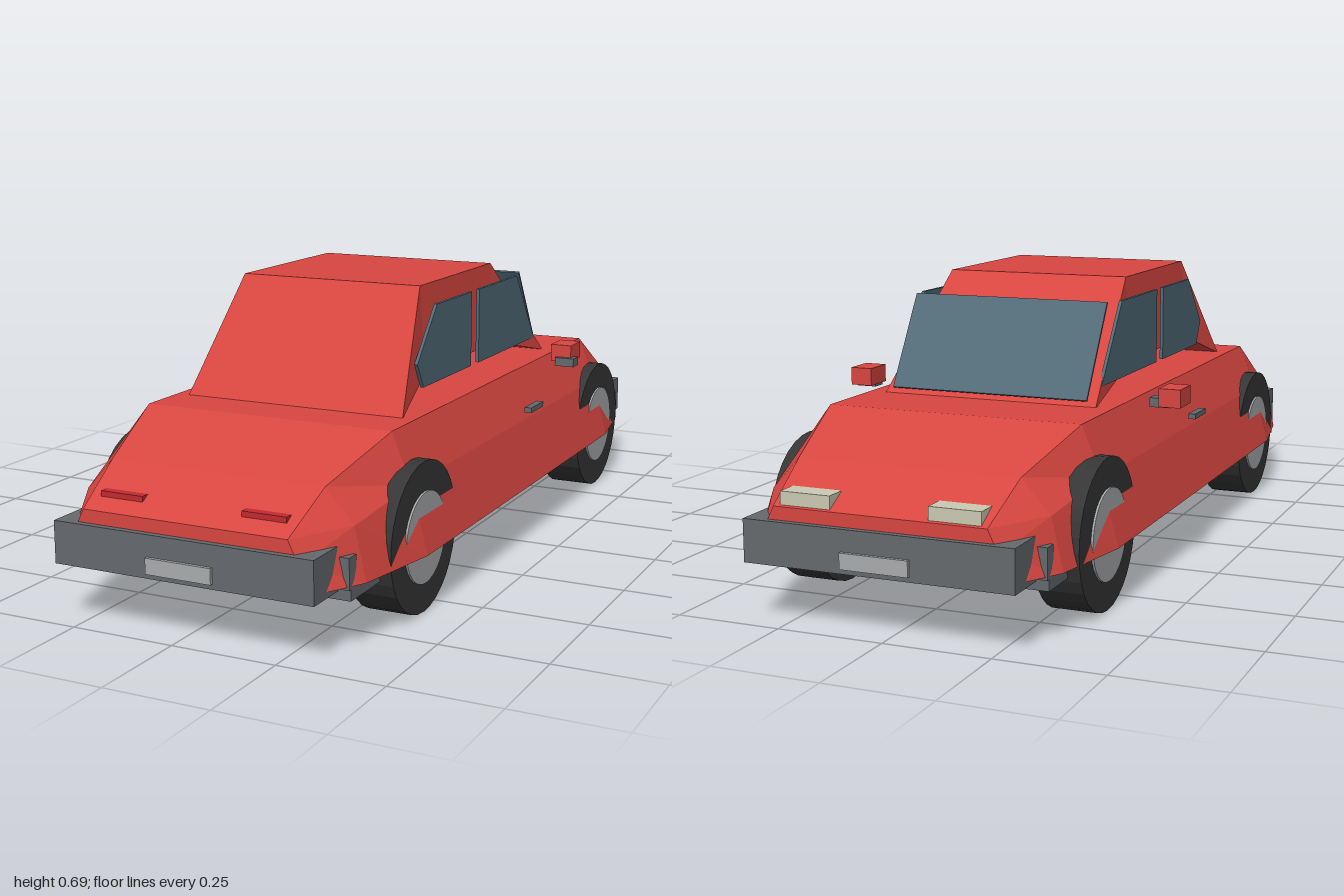
import * as THREE from 'three';

const mat = (name, color) => {
  const m = new THREE.MeshStandardMaterial({ color, flatShading: true });
  m.name = name;
  return m;
};

// Joins rings of points (counter-clockwise about the loft direction) and caps both ends.
function loft(rings, caps) {
  const pos = [];
  const tri = (a, b, c) => pos.push(...a, ...b, ...c);
  const n = rings[0].length;
  for (let i = 0; i + 1 < rings.length; i++) {
    for (let j = 0; j < n; j++) {
      const k = (j + 1) % n;
      const [a, b, c, d] = [rings[i][j], rings[i][k], rings[i + 1][k], rings[i + 1][j]];
      tri(a, b, c);
      tri(a, c, d);
    }
  }
  const first = rings[0], last = rings[rings.length - 1];
  for (const [a, b, c] of caps) {
    tri(last[a], last[b], last[c]);
    tri(first[a], first[c], first[b]);
  }
  const g = new THREE.BufferGeometry();
  g.setAttribute('position', new THREE.Float32BufferAttribute(pos, 3));
  g.computeVertexNormals();
  return g;
}

export function createModel() {
  const red = mat('body red', 0xd84640);
  const grey = mat('trim grey', 0x65696d);
  const black = mat('tire black', 0x363636);
  const silver = mat('hub silver', 0xa9abad);
  const glass = mat('window glass', 0x526c79);
  const lamp = mat('headlight cream', 0xcbc9b2);
  const tail = mat('taillight red', 0xc32a2f);

  const root = new THREE.Group();
  root.name = 'car';
  const add = (name, geo, material) => {
    const m = new THREE.Mesh(geo, material);
    m.name = name;
    root.add(m);
    return m;
  };
  // Box given by its minimum and maximum on each axis
  const box = (name, material, x0, x1, y0, y1, z0, z1) =>
    add(name, new THREE.BoxGeometry(x1 - x0, y1 - y0, z1 - z0), material)
      .position.set((x0 + x1) / 2, (y0 + y1) / 2, (z0 + z1) / 2);
  const C = 0.018; // centre line of the car

  // Lower body: cross-sections along z, each with bottom, waist and top [half width, y]
  const half = [
    [0.62, [0.4, 0.145], [0.36, 0.3], [0.313, 0.415]],
    [0.84, [0.36, 0.145], [0.333, 0.265], [0.265, 0.34]],
    [0.975, [0.3, 0.15], [0.275, 0.21], [0.25, 0.262]],
  ];
  const section = (z, [b, m, t]) => [
    [C - b[0], b[1], z], [C + b[0], b[1], z], [C + m[0], m[1], z],
    [C + t[0], t[1], z], [C - t[0], t[1], z], [C - m[0], m[1], z],
  ];
  const rings = [
    ...[...half].reverse().map(([z, ...p]) => section(-z, p)),
    ...half.map(([z, ...p]) => section(z, p)),
  ];
  add('body', loft(rings, [[0, 1, 2], [0, 2, 5], [5, 2, 3], [5, 3, 4]]), red);

  // Cabin: side profile [half width, y, z], raised along the sills
  const profile = [
    [0.282, 0.412, 0.5], [0.25, 0.48, 0.305], [0.25, 0.48, -0.13],
    [0.272, 0.412, -0.43], [0.235, 0.685, -0.13], [0.235, 0.685, 0.305],
  ];
  const cabinSide = (s) => profile.map(([h, y, z]) => [C + s * h, y, z]);
  add('cabin', loft([cabinSide(-1), cabinSide(1)], [[0, 1, 5], [1, 2, 5], [2, 4, 5], [2, 3, 4]]), red);

  // Side windows: outlines as [z, y]
  const panes = {
    rearSideWindow: [[0.385, 0.515], [0.35, 0.455], [0.065, 0.455], [0.065, 0.64], [0.275, 0.64]],
    frontSideWindow: [[0.017, 0.455], [-0.375, 0.455], [-0.24, 0.64], [0.017, 0.64]],
  };
  for (const [name, pts] of Object.entries(panes)) {
    const shape = new THREE.Shape(pts.map(([z, y]) => new THREE.Vector2(-z, y)));
    for (const s of [-1, 1]) {
      const geo = new THREE.ExtrudeGeometry(shape, { depth: 0.008, bevelEnabled: false });
      geo.translate(0, 0, -0.004).rotateY(Math.PI / 2);
      add(name, geo, glass).position.x = C + s * 0.262;
    }
  }

  // Windshield: a leaning slab in front of the cabin
  const shield = add('windshield', new THREE.BoxGeometry(0.5, 0.25, 0.006), glass);
  shield.position.set(C, 0.535, -0.362);
  shield.rotation.x = Math.atan2(0.13, 0.21);

  // Chassis
  box('chassis', grey, C - 0.344, C + 0.344, 0.115, 0.147, -0.88, 0.88);

  // Bumpers and plates at both ends
  for (const s of [-1, 1]) {
    const end = (name, material, h, y0, y1, z0, z1) =>
      box(name, material, C - h, C + h, y0, y1, Math.min(s * z0, s * z1), Math.max(s * z0, s * z1));
    end('bumper', grey, 0.317, 0.135, 0.232, 0.885, 0.99);
    end('bumperReturn', grey, 0.344, 0.14, 0.21, 0.855, 0.887);
    end('plate', silver, 0.08, 0.147, 0.183, 0.985, 0.998);
  }

  for (const s of [-1, 1]) {
    // Lights
    const hx = C + s * 0.175;
    box('headlight', lamp, hx - 0.06, hx + 0.06, 0.25, 0.295, -0.97, -0.915);
    box('taillight', tail, hx - 0.053, hx + 0.053, 0.247, 0.296, 0.905, 0.938);

    // Door handles
    const dx = C + s * 0.394;
    box('doorHandle', grey, dx - 0.009, dx + 0.009, 0.335, 0.348, -0.085, 0);

    // Wheels
    for (const z of [-0.615, 0.58]) {
      const wheel = (name, r, inner, outer, material) => {
        const geo = new THREE.CylinderGeometry(r, r, outer - inner, 32).rotateZ(Math.PI / 2);
        add(name, geo, material).position.set(C + s * (inner + outer) / 2, 0.173, z);
      };
      wheel('tire', 0.173, 0.268, 0.374, black);
      wheel('hub', 0.105, 0.3, 0.379, silver);
    }
  }

  // Side mirrors and their brackets
  box('rightMirror', red, -0.435, -0.382, 0.414, 0.457, -0.36, -0.285);
  box('rightMirrorBracket', grey, -0.395, -0.343, 0.403, 0.425, -0.31, -0.272);
  box('leftMirror', red, 0.367, 0.422, 0.414, 0.457, -0.36, -0.285);
  box('leftMirrorBracket', grey, 0.383, 0.434, 0.403, 0.425, -0.31, -0.272);

  return root;
}
